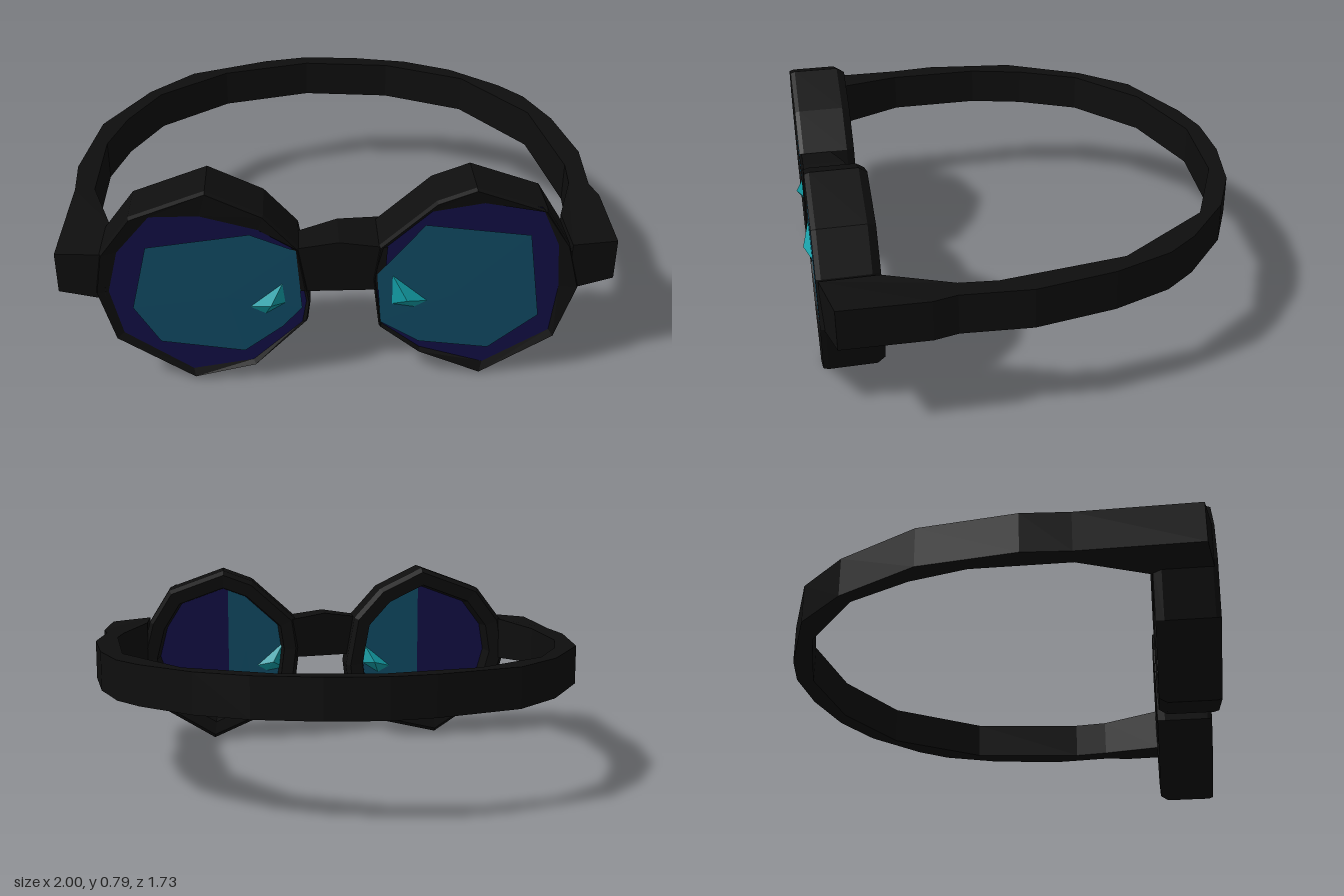
import * as THREE from 'three';

const frameBlack = new THREE.MeshStandardMaterial({ color: 0x0e0e0e });
frameBlack.name = 'frameBlack';
const lensIndigo = new THREE.MeshStandardMaterial({ color: 0x120f46 });
lensIndigo.name = 'lensIndigo';
const lensTeal = new THREE.MeshStandardMaterial({ color: 0x104c66 });
lensTeal.name = 'lensTeal';
const glintCyan = new THREE.MeshStandardMaterial({ color: 0x12a0a8 });
glintCyan.name = 'glintCyan';

// Outlines run counterclockwise as seen from the front
const EYES = [
  {
    name: 'right', nose: 1, centre: [-0.48, 0.4],
    outer: [[-0.455, 0.797], [-0.72, 0.7], [-0.83, 0.555], [-0.855, 0.4], [-0.8, 0.2], [-0.525, 0.015],
      [-0.3, 0.065], [-0.11, 0.26], [-0.1, 0.34], [-0.14, 0.565], [-0.26, 0.7]],
    inner: [[-0.48, 0.7], [-0.65, 0.7], [-0.77, 0.56], [-0.81, 0.4], [-0.77, 0.22], [-0.53, 0.05],
      [-0.31, 0.085], [-0.13, 0.25], [-0.115, 0.34], [-0.15, 0.555], [-0.28, 0.64]],
    teal: [[-0.31, 0.625], [-0.67, 0.58], [-0.73, 0.33], [-0.64, 0.18], [-0.34, 0.13], [-0.2, 0.235],
      [-0.13, 0.315], [-0.15, 0.555]],
    glint: [[-0.2, 0.42], [-0.315, 0.325], [-0.26, 0.295], [-0.19, 0.34]],
  },
  {
    name: 'left', nose: -1, centre: [0.48, 0.4],
    outer: [[0.47, 0.79], [0.335, 0.74], [0.14, 0.565], [0.12, 0.43], [0.145, 0.225], [0.29, 0.107],
      [0.52, 0.005], [0.785, 0.165], [0.855, 0.38], [0.81, 0.555], [0.72, 0.7]],
    inner: [[0.5, 0.73], [0.32, 0.7], [0.16, 0.555], [0.13, 0.43], [0.155, 0.235], [0.295, 0.125],
      [0.53, 0.05], [0.765, 0.19], [0.785, 0.38], [0.77, 0.555], [0.7, 0.71]],
    teal: [[0.3, 0.65], [0.135, 0.45], [0.15, 0.245], [0.29, 0.155], [0.545, 0.12], [0.72, 0.26], [0.67, 0.6]],
    glint: [[0.19, 0.445], [0.19, 0.325], [0.27, 0.31], [0.315, 0.335]],
  },
];

function meshFrom(name, positions, material) {
  const g = new THREE.BufferGeometry();
  g.setAttribute('position', new THREE.Float32BufferAttribute(positions, 3));
  g.computeVertexNormals();
  const m = new THREE.Mesh(g, material);
  m.name = name;
  return m;
}

// Triangle fan over an outline, optionally raised to a point
function fan(name, pts, z, apexZ, material) {
  const n = pts.length;
  const cx = pts.reduce((s, p) => s + p[0], 0) / n;
  const cy = pts.reduce((s, p) => s + p[1], 0) / n;
  const pos = [];
  pts.forEach((a, i) => {
    const b = pts[(i + 1) % n];
    pos.push(a[0], a[1], z, b[0], b[1], z, cx, cy, apexZ);
  });
  return meshFrom(name, pos, material);
}

// Faceted skin between successive loops of { pts, z }
function loft(name, loops, material) {
  const pos = [];
  for (let k = 0; k < loops.length - 1; k++) {
    const A = loops[k], B = loops[k + 1], n = A.pts.length;
    for (let i = 0; i < n; i++) {
      const j = (i + 1) % n;
      const a = [...A.pts[i], A.z], b = [...A.pts[j], A.z];
      const c = [...B.pts[j], B.z], d = [...B.pts[i], B.z];
      pos.push(...a, ...b, ...c, ...a, ...c, ...d);
    }
  }
  return meshFrom(name, pos, material);
}

function makeEye(e) {
  const group = new THREE.Group();
  group.name = e.name + 'Eyepiece';
  const [cx, cy] = e.centre;
  const scaled = (s) => e.outer.map(([x, y]) => [cx + (x - cx) * s, cy + (y - cy) * s]);
  const seat = scaled(0.77);
  const back = (pts) => [...pts].reverse();

  // Rim: rear opening, outer wall, front lip
  group.add(loft('rim', [
    { pts: seat, z: 0.72 }, { pts: scaled(0.8), z: 0.62 }, { pts: scaled(0.95), z: 0.615 },
    { pts: e.outer, z: 0.645 }, { pts: e.outer, z: 0.82 }, { pts: scaled(0.985), z: 0.838 },
    { pts: e.inner, z: 0.825 },
  ], frameBlack));

  // Front lens
  group.add(fan('lensFront', e.inner, 0.825, 0.825, lensIndigo));
  group.add(fan('lensFrontSheen', e.teal, 0.831, 0.833, lensTeal));
  group.add(fan('frontGlint', e.glint, 0.833, 0.862, glintCyan));

  // Rear lens, with the sheen on its nose side
  const split = cx + e.nose * 0.03;
  const half = seat.map(([x, y]) => [e.nose > 0 ? Math.max(x, split) : Math.min(x, split), y]);
  group.add(fan('lensBack', back(seat), 0.72, 0.72, lensIndigo));
  group.add(fan('lensBackSheen', back(half), 0.714, 0.714, lensTeal));
  group.add(fan('backGlint', back(e.glint), 0.712, 0.68, glintCyan));
  return group;
}

function makeStrap() {
  // Plan outline in x and z
  const plan = [
    [-0.82, 0.83], [-0.99, 0.8], [-0.985, 0.35], [-1, 0.17], [-0.95, -0.2], [-0.78, -0.51], [-0.6, -0.7],
    [-0.27, -0.83], [-0.1, -0.865], [0.13, -0.855], [0.38, -0.8], [0.58, -0.7], [0.78, -0.52], [0.87, -0.4],
    [0.95, -0.18], [1, 0.12], [0.98, 0.38], [1, 0.47], [0.99, 0.79], [0.82, 0.83],
    [0.82, 0.62], [0.905, 0.37], [0.92, 0.23], [0.86, -0.24], [0.62, -0.6], [0.29, -0.76], [-0.08, -0.8],
    [-0.45, -0.7], [-0.73, -0.48], [-0.85, -0.24], [-0.91, -0.02], [-0.91, 0.35], [-0.82, 0.62],
  ];
  const shape = new THREE.Shape(plan.map(([x, z]) => new THREE.Vector2(x, -z)));
  const g = new THREE.ExtrudeGeometry(shape, { depth: 0.155, bevelEnabled: false });
  g.rotateX(-Math.PI / 2).translate(0, 0.387, 0);
  // Ends widen where they meet the rims
  const p = g.attributes.position;
  for (let i = 0; i < p.count; i++) {
    if (p.getZ(i) > 0.55 && Math.abs(p.getX(i)) < 0.9) p.setY(i, p.getY(i) < 0.46 ? 0.37 : 0.555);
  }
  g.computeVertexNormals();
  const m = new THREE.Mesh(g, frameBlack);
  m.name = 'headStrap';
  return m;
}

function makeBridge() {
  const shape = new THREE.Shape([[-0.17, 0.385], [0.16, 0.385], [0.17, 0.56], [0, 0.585], [-0.17, 0.56]]
    .map(([x, y]) => new THREE.Vector2(x, y)));
  const g = new THREE.ExtrudeGeometry(shape, { depth: 0.14, bevelEnabled: false });
  g.translate(0, 0, 0.69);
  // Rear face slants across the nose
  const p = g.attributes.position;
  for (let i = 0; i < p.count; i++) {
    if (p.getZ(i) < 0.75) p.setZ(i, 0.67 - p.getX(i) * 0.3);
  }
  g.computeVertexNormals();
  const m = new THREE.Mesh(g, frameBlack);
  m.name = 'noseBridge';
  return m;
}

export function createModel() {
  const model = new THREE.Group();
  model.name = 'goggles';
  EYES.forEach((e) => model.add(makeEye(e)));
  model.add(makeBridge(), makeStrap());
  return model;
}
